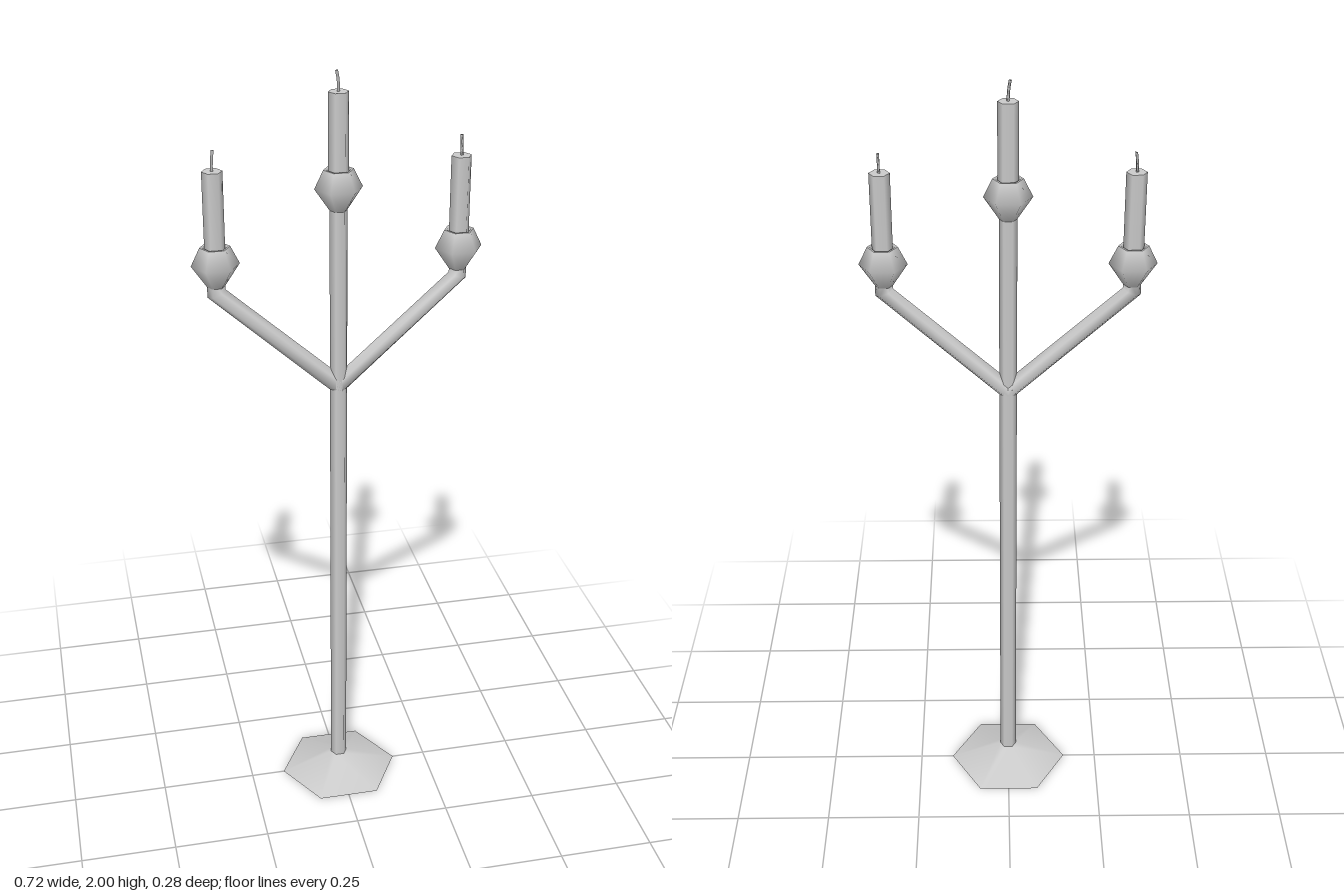
import * as THREE from 'three';

const SIDES = 6;
const POLE_R = 0.022;

export function createModel() {
  const model = new THREE.Group();
  const material = new THREE.MeshStandardMaterial({ color: 0xcccccc, side: THREE.DoubleSide });

  const add = (parent, name, geometry) => {
    const mesh = new THREE.Mesh(geometry, material);
    mesh.name = name;
    parent.add(mesh);
    return mesh;
  };

  // Six-sided turned shape with corners on the x axis
  const turned = (profile) => new THREE.LatheGeometry(
    profile.map(([r, y]) => new THREE.Vector2(r, y)), SIDES, Math.PI / 2);

  // Six-sided rod with corners on the x axis
  const rod = (r, y0, y1, open) => new THREE.CylinderGeometry(
    r, r, y1 - y0, SIDES, 1, open, Math.PI / 2).translate(0, (y0 + y1) / 2, 0);

  // Hollow spreading foot and the central pole
  add(model, 'foot', turned([[0.16, 0], [POLE_R, 0.05]]));
  add(model, 'pole', rod(POLE_R, 0.05, 1.69, true));

  // Arm: mitred hexagonal rings, each with a centre and an in-plane half axis
  const armGeometry = (side) => {
    const rings = [
      { x: 0, y: 1.205, ux: 0, uy: -0.031 },
      { x: 0.3, y: 1.477, ux: 0.022, uy: -0.009 },
      { x: 0.3, y: 1.515, ux: 0.022, uy: 0 },
    ];
    const positions = [], index = [];
    rings.forEach((ring, j) => {
      for (let i = 0; i < SIDES; i++) {
        const a = (i / SIDES) * Math.PI * 2, c = Math.cos(a);
        positions.push(side * (ring.x + ring.ux * c), ring.y + ring.uy * c, POLE_R * Math.sin(a));
        if (j === 0) continue;
        const n = (i + 1) % SIDES;
        const p = (j - 1) * SIDES + i, q = (j - 1) * SIDES + n;
        const r = p + SIDES, s = q + SIDES;
        if (side > 0) index.push(p, r, q, q, r, s);
        else index.push(p, q, r, q, s, r);
      }
    });
    const geometry = new THREE.BufferGeometry();
    geometry.setAttribute('position', new THREE.Float32BufferAttribute(positions, 3));
    geometry.setIndex(index);
    geometry.computeVertexNormals();
    return geometry;
  };
  add(model, 'leftArm', armGeometry(1));
  add(model, 'rightArm', armGeometry(-1));

  // Holder cup with a shallow recess, candle and bent wick
  const addCandle = (name, x, y, height, wickTurn) => {
    const group = new THREE.Group();
    group.name = name;
    group.position.set(x, y, 0);
    model.add(group);

    add(group, 'cup', turned([[POLE_R, -0.06], [0.059, -0.005], [0.037, 0.04]]));
    add(group, 'cupRim', turned([[0.037, 0.04], [0.031, 0.04], [0.029, 0.028], [0.001, 0.028]]));
    add(group, 'candle', rod(0.025, 0.02, height, false));

    const bend = new THREE.CatmullRomCurve3([
      new THREE.Vector3(0, height - 0.005, 0),
      new THREE.Vector3(0.001, height + 0.025, 0),
      new THREE.Vector3(0.005, height + 0.049, 0),
    ]);
    add(group, 'wick', new THREE.TubeGeometry(bend, 3, 0.004, 3, false)).rotation.y = wickTurn;
  };
  addCandle('centreCandle', 0, 1.725, 0.225, Math.PI);
  addCandle('leftCandle', 0.3, 1.555, 0.225, Math.PI / 2);
  addCandle('rightCandle', -0.3, 1.555, 0.225, 0.6);

  return model;
}
